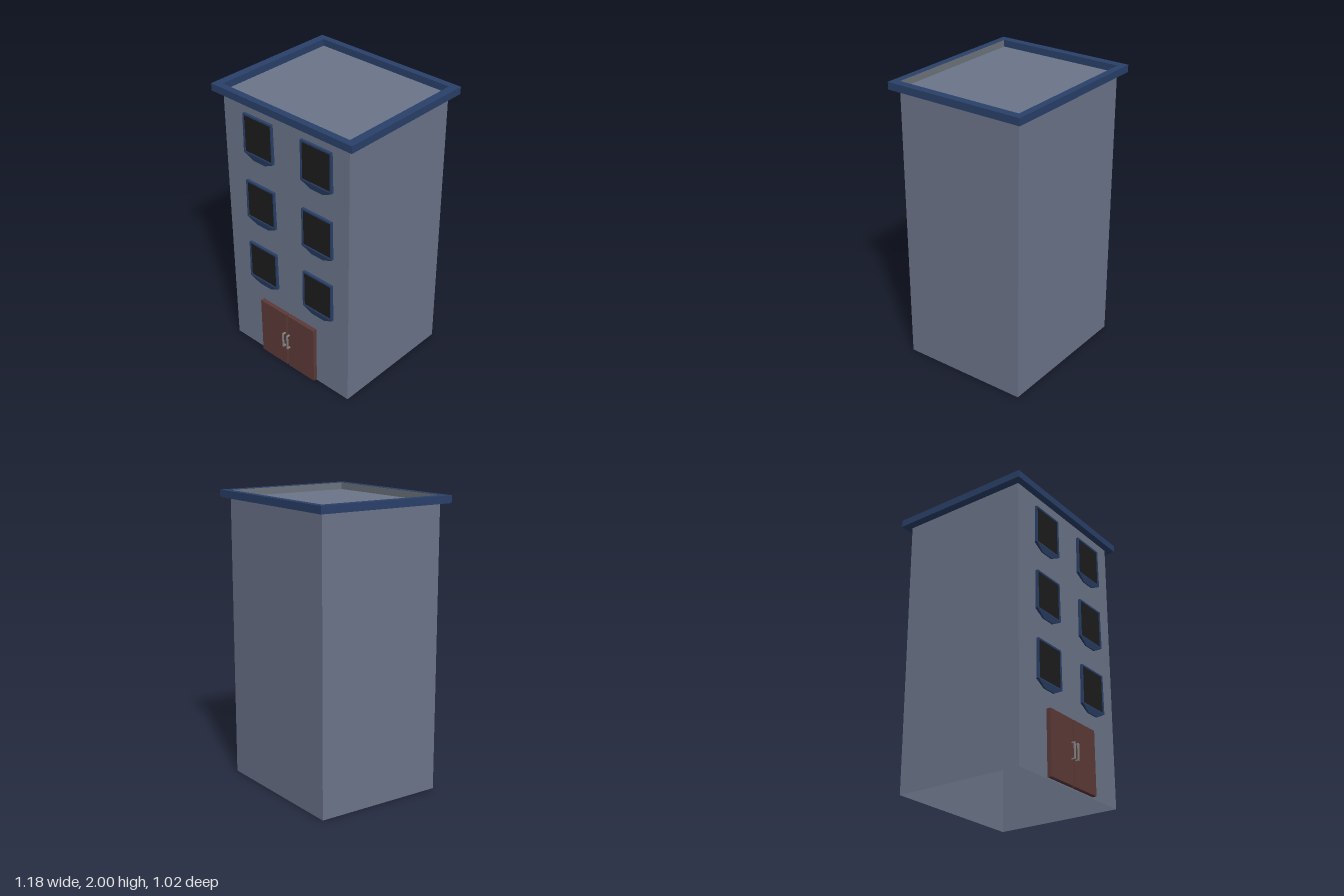
import * as THREE from 'three';

const mat = (color, side = THREE.FrontSide) => new THREE.MeshStandardMaterial({ color, side, flatShading: true });
const wallMat = mat(0x6b7489, THREE.DoubleSide);
const trimMat = mat(0x2a4069);
const glassMat = mat(0x1c1c1c);
const doorMat = mat(0x5c3a38);
const metalMat = mat(0x858585);
const linerMat = mat(0x6d747c);

// Outer wall limits
const X = 0.533, FRONT = 0.458, BACK = -0.463, ROOF = 1.952;
const DEPTH = FRONT - BACK, MID = (FRONT + BACK) / 2;

function add(parent, name, geometry, material, x = 0, y = 0, z = 0) {
  const mesh = new THREE.Mesh(geometry, material);
  mesh.name = name;
  mesh.position.set(x, y, z);
  parent.add(mesh);
  return mesh;
}

const polygon = (points) => new THREE.Shape(points.map(([x, y]) => new THREE.Vector2(x, y)));
const rect = (w, h) => polygon([[-w, -h], [w, -h], [w, h], [-w, h]]);
const extrude = (shape, depth) => new THREE.ExtrudeGeometry(shape, { depth, bevelEnabled: false });

// Window with its origin at the bottom centre of the sill
function makeWindow() {
  const win = new THREE.Group();
  win.name = 'window';
  const frame = polygon([[-0.13, 0.042], [0.13, 0.042], [0.125, 0.32], [-0.125, 0.32]]);
  frame.holes.push(polygon([[-0.117, 0.05], [-0.117, 0.308], [0.117, 0.308], [0.117, 0.05]]));
  add(win, 'windowFrame', extrude(frame, 0.018), trimMat);
  add(win, 'windowPane', new THREE.BoxGeometry(0.236, 0.26, 0.012), glassMat, 0, 0.179, 0.006);

  // Sill narrows toward its lower edge, in width and in depth
  const sill = extrude(polygon([[-0.132, 0.042], [-0.052, 0], [0.052, 0], [0.132, 0.042]]), 0.018);
  const p = sill.attributes.position;
  for (let i = 0; i < p.count; i++) {
    if (p.getY(i) < 0.01 && p.getZ(i) > 0.01) p.setZ(i, 0.009);
  }
  sill.computeVertexNormals();
  add(win, 'windowSill', sill, trimMat);
  return win;
}

function makeDoor(side) {
  const door = new THREE.Group();
  door.name = side > 0 ? 'leftDoor' : 'rightDoor';
  add(door, 'doorPanel', new THREE.BoxGeometry(0.243, 0.44, 0.03), doorMat, side * 0.127, 0.23, FRONT + 0.015);
  // Pull handle: a grip on two short posts
  const hx = side * 0.02;
  add(door, 'handleGrip', new THREE.BoxGeometry(0.012, 0.114, 0.008), metalMat, hx, 0.235, 0.509);
  for (const y of [0.182, 0.288]) {
    add(door, 'handlePost', new THREE.BoxGeometry(0.012, 0.008, 0.022), metalMat, hx, y, 0.497);
  }
  return door;
}

export function createModel() {
  const model = new THREE.Group();
  model.name = 'building';

  // Walls, open at the bottom
  for (const s of [-1, 1]) {
    add(model, 'sideWall', new THREE.PlaneGeometry(DEPTH, ROOF), wallMat, s * X, ROOF / 2, MID).rotation.y = s * Math.PI / 2;
  }
  add(model, 'frontWall', new THREE.PlaneGeometry(2 * X, ROOF), wallMat, 0, ROOF / 2, FRONT);
  add(model, 'backWall', new THREE.PlaneGeometry(2 * X, ROOF), wallMat, 0, ROOF / 2, BACK).rotation.y = Math.PI;
  add(model, 'roof', new THREE.PlaneGeometry(2 * X, DEPTH), wallMat, 0, ROOF, MID).rotation.x = -Math.PI / 2;

  // Overhanging parapet around the roof
  const rim = rect(0.59, 0.508);
  rim.holes.push(rect(X, DEPTH / 2));
  add(model, 'parapet', extrude(rim, 0.05), trimMat, 0, 1.95, MID).rotation.x = -Math.PI / 2;

  // Grey lining on the inner front and left of the parapet
  add(model, 'frontLining', new THREE.PlaneGeometry(2 * X, 0.047), linerMat, 0, 1.9755, FRONT - 0.001).rotation.y = Math.PI;
  add(model, 'leftLining', new THREE.PlaneGeometry(DEPTH, 0.047), linerMat, X - 0.001, 1.9755, MID).rotation.y = -Math.PI / 2;

  // Three storeys with two windows each
  for (const y of [0.574, 1.06, 1.547]) {
    for (const x of [-0.222, 0.275]) {
      const win = makeWindow();
      win.position.set(x, y, FRONT);
      model.add(win);
    }
  }

  // Double door
  model.add(makeDoor(-1), makeDoor(1));
  return model;
}
